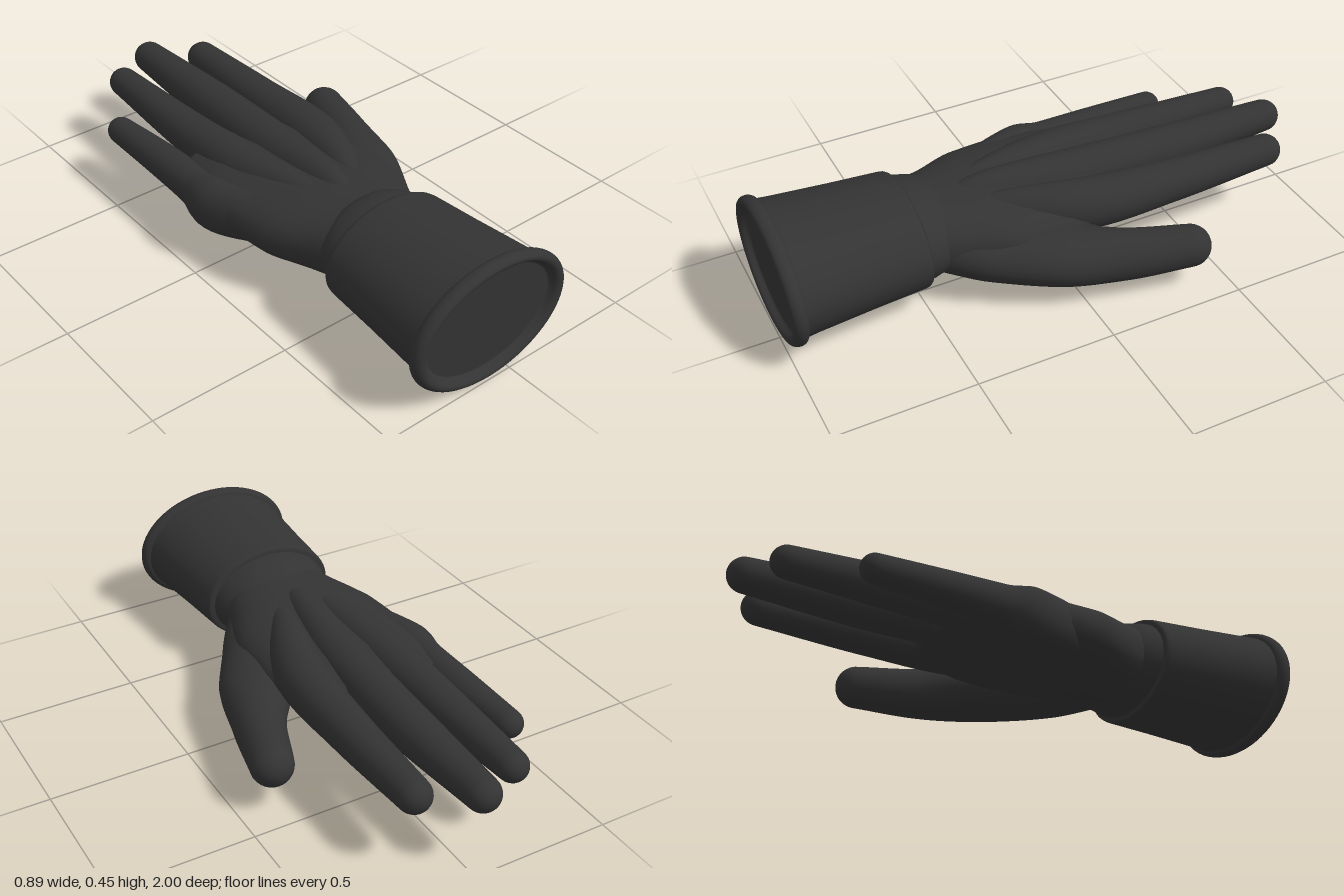
import * as THREE from 'three';

const SIDES = 28;

// Smooth closed limb through stations [x, y, z, half width, half height] with a rounded end.
function limb(stations, steps = 36, power = 2) {
  const path = new THREE.CatmullRomCurve3(stations.map(s => new THREE.Vector3(s[0], s[1], s[2])));
  const size = new THREE.CatmullRomCurve3(stations.map(s => new THREE.Vector3(s[3], s[4], 0)));
  const up = new THREE.Vector3(0, 1, 0);
  const pos = [], index = [];
  let rings = 0;

  function ring(c, t, rx, ry) {
    const side = new THREE.Vector3().crossVectors(t, up).normalize();
    const rise = new THREE.Vector3().crossVectors(side, t).normalize();
    for (let j = 0; j < SIDES; j++) {
      const a = j / SIDES * Math.PI * 2;
      const round = v => Math.sign(v) * Math.pow(Math.abs(v), 2 / power);
      const p = c.clone()
        .addScaledVector(side, rx * round(Math.cos(a)))
        .addScaledVector(rise, ry * round(Math.sin(a)));
      pos.push(p.x, p.y, p.z);
    }
    rings++;
  }

  for (let i = 0; i <= steps; i++) {
    const s = size.getPoint(i / steps);
    ring(path.getPoint(i / steps), path.getTangent(i / steps), s.x, s.y);
  }
  // rounded tip
  const end = path.getPoint(1), dir = path.getTangent(1), last = size.getPoint(1);
  const reach = Math.min(last.x, last.y);
  for (let k = 1; k < 8; k++) {
    const a = k / 8 * Math.PI / 2;
    ring(end.clone().addScaledVector(dir, reach * Math.sin(a)), dir,
      last.x * Math.cos(a), last.y * Math.cos(a));
  }
  for (let i = 0; i < rings - 1; i++) {
    for (let j = 0; j < SIDES; j++) {
      const a = i * SIDES + j, b = i * SIDES + (j + 1) % SIDES;
      index.push(a, a + SIDES, b, b, a + SIDES, b + SIDES);
    }
  }
  // close both ends
  const start = path.getPoint(0), tip = end.clone().addScaledVector(dir, reach);
  const n = rings * SIDES, base = (rings - 1) * SIDES;
  pos.push(start.x, start.y, start.z, tip.x, tip.y, tip.z);
  for (let j = 0; j < SIDES; j++) {
    const k = (j + 1) % SIDES;
    index.push(n, j, k, n + 1, base + k, base + j);
  }
  const g = new THREE.BufferGeometry();
  g.setAttribute('position', new THREE.Float32BufferAttribute(pos, 3));
  g.setIndex(index);
  g.computeVertexNormals();
  return g;
}

// Elliptical sleeve piece from a [radius, z] profile.
function sleeve(profile) {
  const g = new THREE.LatheGeometry(profile.map(p => new THREE.Vector2(p[0], p[1])), 64);
  g.rotateX(Math.PI / 2);
  g.scale(1, 0.71, 1);
  g.translate(-0.085, 0.2265, 0);
  return g;
}

export function createModel() {
  const model = new THREE.Group();
  model.name = 'glove';
  const rubber = new THREE.MeshStandardMaterial({ color: 0x333333 });
  rubber.name = 'black rubber';
  const add = (name, geometry) => {
    const mesh = new THREE.Mesh(geometry, rubber);
    mesh.name = name;
    model.add(mesh);
  };

  // wrist, cuff, rolled rim and recessed closing face
  add('wrist', sleeve([[0, 0.325], [0.09, 0.332], [0.15, 0.36], [0.19, 0.39],
    [0.213, 0.425], [0.226, 0.47], [0.232, 0.52]]));
  add('cuff', sleeve([[0.22, 0.495], [0.246, 0.495], [0.252, 0.502], [0.255, 0.515],
    [0.268, 0.7], [0.285, 0.9], [0.291, 0.95]]));
  const rim = [];
  for (let i = 0; i <= 14; i++) {
    const a = -Math.PI / 2 + i / 14 * Math.PI * 1.35;
    rim.push([0.29 + 0.025 * Math.cos(a), 0.973 + 0.027 * Math.sin(a)]);
  }
  add('cuffRim', sleeve([...rim, [0.262, 0.975], [0.255, 0.972]]));
  add('cuffFace', sleeve([[0.27, 0.972], [0.14, 0.972], [0, 0.972]]));

  // palm
  add('palm', limb([
    [-0.085, 0.225, 0.46, 0.2, 0.13],
    [-0.085, 0.22, 0.36, 0.235, 0.13],
    [-0.09, 0.215, 0.2, 0.295, 0.125],
    [-0.1, 0.215, 0.02, 0.305, 0.11],
    [-0.1, 0.225, -0.13, 0.285, 0.09],
    [-0.1, 0.235, -0.25, 0.25, 0.06],
  ], 36, 2.3));

  // fingers, each running back over the hand as a soft ridge
  const fingers = {
    indexFinger: [
      [-0.03, 0.235, 0.34, 0.045, 0.055], [0.015, 0.26, 0.2, 0.06, 0.08],
      [0.105, 0.255, -0.1, 0.092, 0.092], [0.122, 0.25, -0.44, 0.078, 0.077],
      [0.125, 0.255, -0.83, 0.06, 0.06]],
    middleFinger: [
      [-0.085, 0.24, 0.34, 0.05, 0.06], [-0.078, 0.278, 0.25, 0.06, 0.08],
      [-0.06, 0.268, -0.1, 0.088, 0.088], [-0.049, 0.262, -0.5, 0.083, 0.081],
      [-0.05, 0.268, -0.94, 0.06, 0.06]],
    ringFinger: [
      [-0.14, 0.235, 0.34, 0.045, 0.055], [-0.16, 0.26, 0.2, 0.06, 0.08],
      [-0.208, 0.255, -0.1, 0.088, 0.09], [-0.22, 0.25, -0.4, 0.077, 0.077],
      [-0.22, 0.255, -0.86, 0.055, 0.055]],
    littleFinger: [
      [-0.19, 0.22, 0.34, 0.045, 0.055], [-0.265, 0.215, 0.18, 0.07, 0.09],
      [-0.362, 0.195, -0.06, 0.08, 0.1], [-0.362, 0.205, -0.17, 0.068, 0.074],
      [-0.367, 0.212, -0.37, 0.063, 0.063], [-0.38, 0.215, -0.63, 0.05, 0.05]],
    thumb: [
      [0.01, 0.21, 0.42, 0.1, 0.1], [0.09, 0.17, 0.25, 0.13, 0.1],
      [0.205, 0.155, 0.05, 0.13, 0.097], [0.297, 0.148, -0.15, 0.093, 0.09],
      [0.367, 0.155, -0.37, 0.075, 0.075]],
  };
  for (const [name, stations] of Object.entries(fingers)) add(name, limb(stations, 44));

  return model;
}
